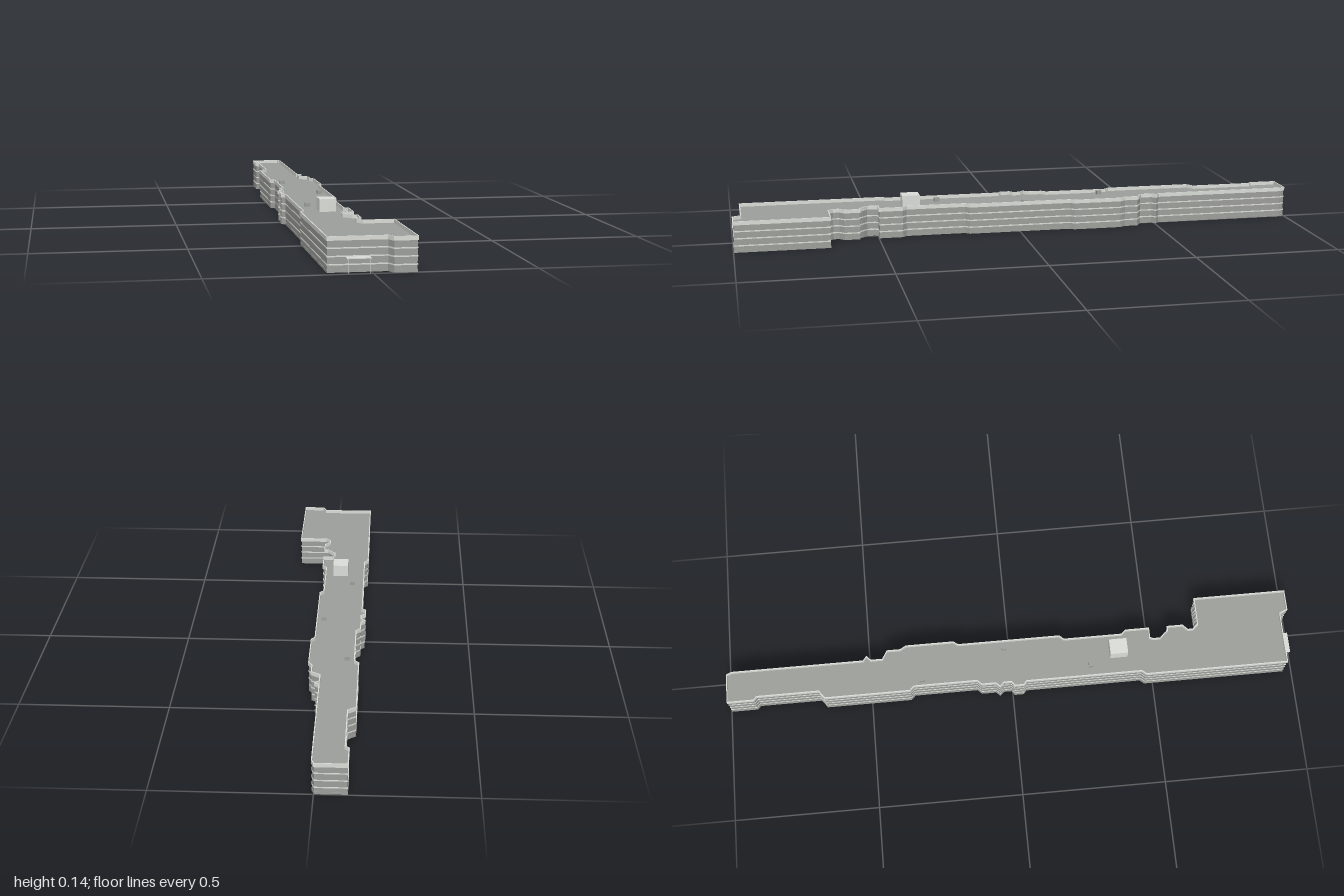
import * as THREE from 'three';

// Roof edge outline as [x, z], from the back round by the left side (+x)
const OUTLINE = [
  [-0.105, -1], [0, -1], [0.008, -0.98], [0.008, -0.518], [0.024, -0.505], [0.008, -0.49],
  [0.008, -0.45], [0.038, -0.432], [0.038, -0.385], [0.05, -0.365], [0.05, -0.195],
  [0.038, -0.18], [0.038, 0.18], [0.024, 0.195], [0.024, 0.4], [0.038, 0.415], [0.038, 0.5],
  [0.002, 0.5], [-0.003, 0.51], [-0.003, 0.535], [0.012, 0.55], [0.022, 0.563], [0.038, 0.563],
  [0.038, 0.62], [0.02, 0.637], [0.02, 0.655], [0.034, 0.672], [0.135, 0.672], [0.135, 1],
  [0.06, 1], [0.048, 0.972], [-0.135, 0.972], [-0.135, 0.47], [-0.122, 0.455], [-0.122, 0.05],
  [-0.135, 0.04], [-0.135, 0.005], [-0.12, -0.005], [-0.12, -0.03], [-0.135, -0.045],
  [-0.12, -0.06], [-0.12, -0.11], [-0.105, -0.125], [-0.105, -0.345], [-0.12, -0.36],
  [-0.12, -0.66], [-0.093, -0.68], [-0.093, -0.895], [-0.105, -0.905],
];
const ROOF_Y = 0.096;
const WALL_INSET = 0.003;

// Outline moved inwards by d with mitred corners
function inset(d) {
  const n = OUTLINE.length;
  const normal = (a, b) => {
    const l = Math.hypot(b[0] - a[0], b[1] - a[1]);
    return [-(b[1] - a[1]) / l, (b[0] - a[0]) / l];
  };
  return OUTLINE.map((p, i) => {
    const u = normal(OUTLINE[(i + n - 1) % n], p);
    const v = normal(p, OUTLINE[(i + 1) % n]);
    const k = d / (1 + u[0] * v[0] + u[1] * v[1]);
    return new THREE.Vector2(p[0] + (u[0] + v[0]) * k, -(p[1] + (u[1] + v[1]) * k));
  });
}

// Horizontal band that follows the outline; the hole runs the opposite way
function ring(outer, inner, y0, y1) {
  const shape = new THREE.Shape(inset(outer));
  shape.holes.push(new THREE.Path(inset(inner).reverse()));
  const g = new THREE.ExtrudeGeometry(shape, { depth: y1 - y0, bevelEnabled: false });
  return g.rotateX(-Math.PI / 2).translate(0, y0, 0);
}

// Open sheet of wall that follows the outline
function wallSheet(d, y0, y1) {
  const pts = inset(d);
  const pos = [];
  pts.forEach((a, i) => {
    const b = pts[(i + 1) % pts.length];
    const A = [a.x, y0, -a.y], B = [b.x, y0, -b.y], C = [b.x, y1, -b.y], D = [a.x, y1, -a.y];
    pos.push(...A, ...C, ...B, ...A, ...D, ...C);
  });
  const g = new THREE.BufferGeometry();
  g.setAttribute('position', new THREE.Float32BufferAttribute(pos, 3));
  g.computeVertexNormals();
  return g;
}

export function createModel() {
  const grey = new THREE.MeshStandardMaterial({ color: 0x9d9f9b, side: THREE.DoubleSide });
  grey.name = 'wall grey';
  const pale = new THREE.MeshStandardMaterial({ color: 0xdbddd8, side: THREE.DoubleSide });
  pale.name = 'pale trim';

  const model = new THREE.Group();
  model.name = 'longBuilding';
  const add = (name, geometry, material) => {
    const mesh = new THREE.Mesh(geometry, material);
    mesh.name = name;
    model.add(mesh);
    return mesh;
  };
  const box = (name, x0, x1, y0, y1, z0, z1, material) =>
    add(name, new THREE.BoxGeometry(x1 - x0, y1 - y0, z1 - z0), material)
      .position.set((x0 + x1) / 2, (y0 + y1) / 2, (z0 + z1) / 2);

  // Shell, open underneath
  add('walls', wallSheet(WALL_INSET, 0, ROOF_Y), grey);
  const deck = new THREE.ShapeGeometry(new THREE.Shape(inset(WALL_INSET)));
  add('roofDeck', deck.rotateX(-Math.PI / 2).translate(0, ROOF_Y, 0), grey);

  // Plinth, storey bands and parapet
  add('plinth', ring(0.0018, 0.0028, 0, 0.008), grey);
  [0.0235, 0.048, 0.0725].forEach((y, i) =>
    add(`storeyBand${i + 1}`, ring(0.0016, 0.0028, y - 0.002, y + 0.002), pale));
  add('parapet', ring(0, 0.0036, ROOF_Y - 0.001, 0.108), pale);

  // Rooftop plant room and vents
  box('plantRoom', -0.06, -0.005, ROOF_Y, 0.138, 0.35, 0.412, pale);
  [[-0.079, -0.316], [0.013, -0.02], [-0.079, 0.28]].forEach(([x, z], i) =>
    box(`roofVent${i + 1}`, x - 0.009, x + 0.009, ROOF_Y, 0.109, z - 0.009, z + 0.009, grey));

  // Entrance canopy on two thin posts
  box('canopy', -0.078, -0.005, 0.044, 0.047, 0.968, 0.999, pale);
  for (const x of [-0.074, -0.009]) {
    const post = add('canopyPost', new THREE.CylinderGeometry(0.001, 0.001, 0.044, 8), pale);
    post.position.set(x, 0.022, 0.995);
  }
  return model;
}
